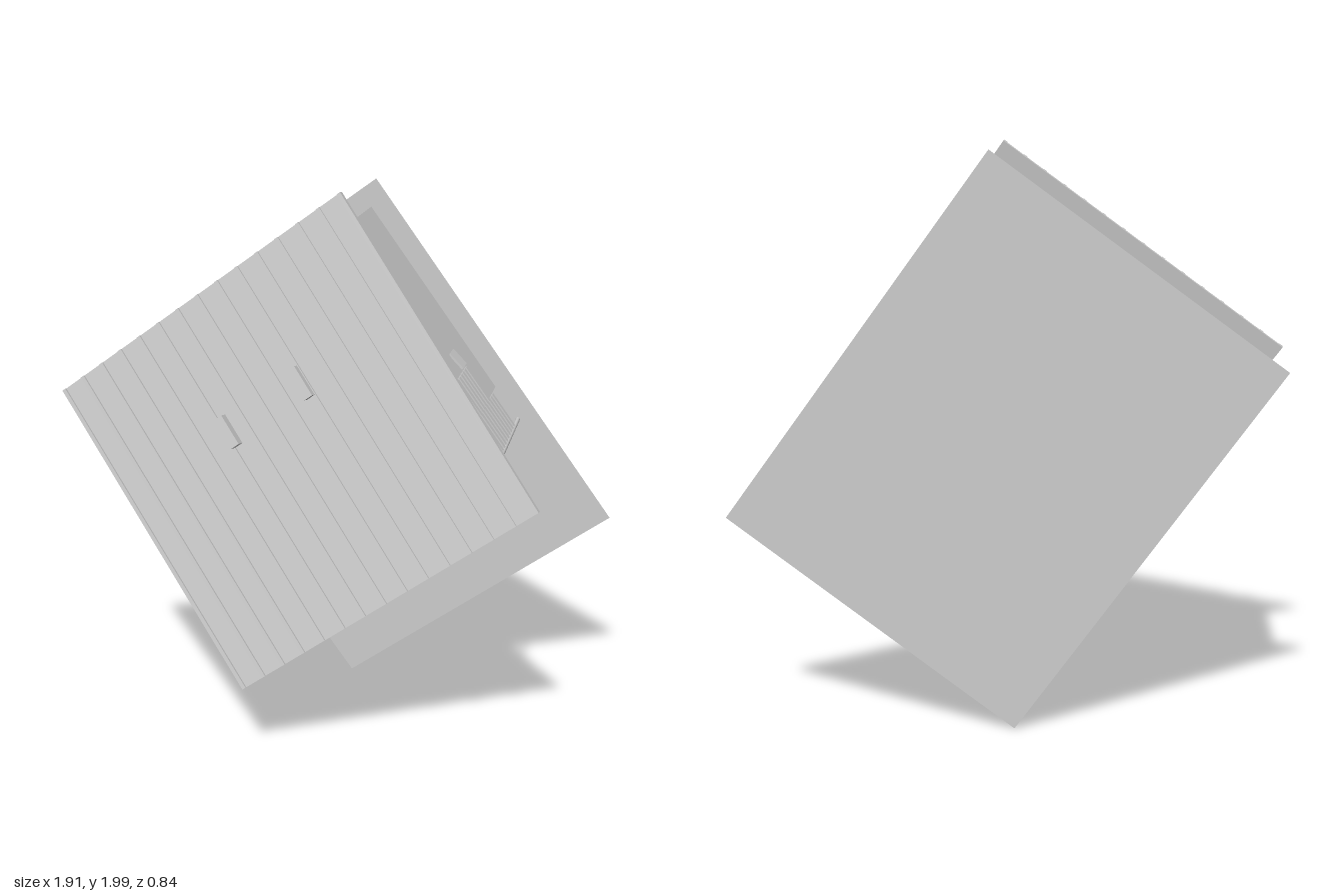
import * as THREE from 'three';

const grey = new THREE.MeshStandardMaterial({ color: 0xcccccc, side: THREE.DoubleSide });
grey.name = 'plain grey';

const SLOPE = 0.194;
const HALF = 0.53;     // half width of the house
const BACK = -0.69;    // back wall
const FRONT = 0.117;   // front wall
const PORCH = 0.265;   // porch posts
const under = (z) => 0.585 + SLOPE * (z + 0.787); // underside of the roof

function add(parent, name, geometry, x = 0, y = 0, z = 0) {
  const mesh = new THREE.Mesh(geometry, grey);
  mesh.name = name;
  mesh.position.set(x, y, z);
  parent.add(mesh);
  return mesh;
}
const box = (parent, name, w, h, d, x, y, z) =>
  add(parent, name, new THREE.BoxGeometry(w, h, d), x, y, z);

export function createModel() {
  const model = new THREE.Group();
  model.name = 'shed';

  // House built upright, then laid on its back and turned
  const house = new THREE.Group();
  house.name = 'house';
  house.rotation.set(Math.PI / 2, 0, 0.63, 'ZYX');
  house.position.set(0.017, 0.99, -0.42);
  model.add(house);

  // Ground sheet
  const ground = add(house, 'ground', new THREE.PlaneGeometry(1.22, 1.53), -0.005, 0, 0.002);
  ground.rotation.x = -Math.PI / 2;

  // Sloping roof with standing seams
  const roof = new THREE.Group();
  roof.name = 'roof';
  const mid = (-0.787 + 0.425) / 2;
  const length = 1.212 / Math.cos(Math.atan(SLOPE));
  roof.position.set(0.004, under(mid), mid);
  roof.rotation.x = -Math.atan(SLOPE);
  house.add(roof);
  box(roof, 'roofSheet', 1.25, 0.014, length, 0, 0.007, 0);
  for (let i = 0; i <= 14; i++) {
    box(roof, 'roofSeam', 0.014, 0.009, length, -0.618 + (i * 1.236) / 14, 0.0175, 0);
  }
  // Roof vents
  for (const x of [-0.157, 0.163]) {
    box(roof, 'roofVent', 0.034, 0.035, 0.115, x, 0.03, -0.165);
  }

  // Back wall and side walls
  box(house, 'backWall', HALF * 2, under(BACK), 0.02, 0, under(BACK) / 2, BACK + 0.01);
  const side = new THREE.Shape([
    new THREE.Vector2(-BACK, 0), new THREE.Vector2(-FRONT, 0),
    new THREE.Vector2(-FRONT, under(FRONT)), new THREE.Vector2(-BACK, under(BACK)),
  ]);
  const sideGeometry = new THREE.ExtrudeGeometry(side, { depth: 0.02, bevelEnabled: false });
  sideGeometry.rotateY(Math.PI / 2);
  add(house, 'sideWall', sideGeometry, HALF - 0.02);
  add(house, 'sideWall', sideGeometry, -HALF);

  // Front wall with tall openings
  const top = under(FRONT) - 0.008;
  const front = new THREE.Shape([
    new THREE.Vector2(-HALF, 0), new THREE.Vector2(HALF, 0),
    new THREE.Vector2(HALF, top), new THREE.Vector2(-HALF, top),
  ]);
  for (let i = 0; i < 4; i++) {
    const a = -0.48 + i * 0.245;
    const b = a + 0.205;
    front.holes.push(new THREE.Path([
      new THREE.Vector2(a, 0.05), new THREE.Vector2(a, 0.64),
      new THREE.Vector2(b, 0.64), new THREE.Vector2(b, 0.05),
    ]));
  }
  add(house, 'frontWall',
    new THREE.ExtrudeGeometry(front, { depth: 0.035, bevelEnabled: false }), 0, 0, FRONT - 0.035);

  // Small casements on the back wall, slightly ajar
  for (const x of [-0.43, -0.065, 0.285]) {
    for (const y of [0.22, 0.51]) {
      box(house, 'backCasement', 0.1, 0.08, 0.008, x, y, BACK - 0.008).rotation.y = -0.14;
    }
  }

  for (const s of [-1, 1]) {
    // Side casements
    for (const y of [0.24, 0.535]) {
      box(house, 'sideCasement', 0.008, 0.075, 0.07, s * (HALF + 0.006), y, -0.074)
        .rotation.y = s * 0.14;
    }
    // Wall louvres and porch end rails
    for (let i = 0; i < 10; i++) {
      box(house, 'wallLouvre', 0.012, 0.024, 0.148, s * (HALF + 0.004), 0.212 + i * 0.039, 0.043);
      box(house, 'endRail', 0.012, 0.024, PORCH - FRONT, s * HALF, 0.115 + i * 0.039,
        (PORCH + FRONT) / 2);
    }
  }

  // Porch posts with curved brackets
  const bend = new THREE.QuadraticBezierCurve3(
    new THREE.Vector3(0, 0.745, 0), new THREE.Vector3(0, 0.765, 0.035),
    new THREE.Vector3(0, under(PORCH + 0.05), 0.05));
  for (let i = 0; i < 4; i++) {
    const x = -HALF + (i * 2 * HALF) / 3;
    const h = under(PORCH);
    add(house, 'porchPost', new THREE.CylinderGeometry(0.008, 0.008, h, 10), x, h / 2, PORCH);
    add(house, 'postBracket', new THREE.TubeGeometry(bend, 8, 0.007, 8), x, 0, PORCH);
  }

  // Long porch boards: front rail and upper screen
  for (let i = 0; i < 6; i++) {
    box(house, 'frontRail', HALF * 2, 0.024, 0.01, 0, 0.31 + i * 0.034, PORCH);
  }
  box(house, 'railBase', HALF * 2, 0.055, 0.012, 0, 0.265, PORCH);
  for (let i = 0; i < 3; i++) {
    box(house, 'upperScreen', HALF * 2, 0.026, 0.01, 0, 0.67 + i * 0.034, PORCH);
  }

  // Gutter along the back eave with its clips
  const gutter = add(house, 'gutter', new THREE.CylinderGeometry(0.009, 0.009, 1.08, 10),
    0, 0.585, BACK - 0.015);
  gutter.rotation.z = Math.PI / 2;
  for (const x of [-0.36, 0, 0.36]) {
    box(house, 'gutterClip', 0.012, 0.026, 0.03, x, 0.585, BACK - 0.014);
  }
  return model;
}
